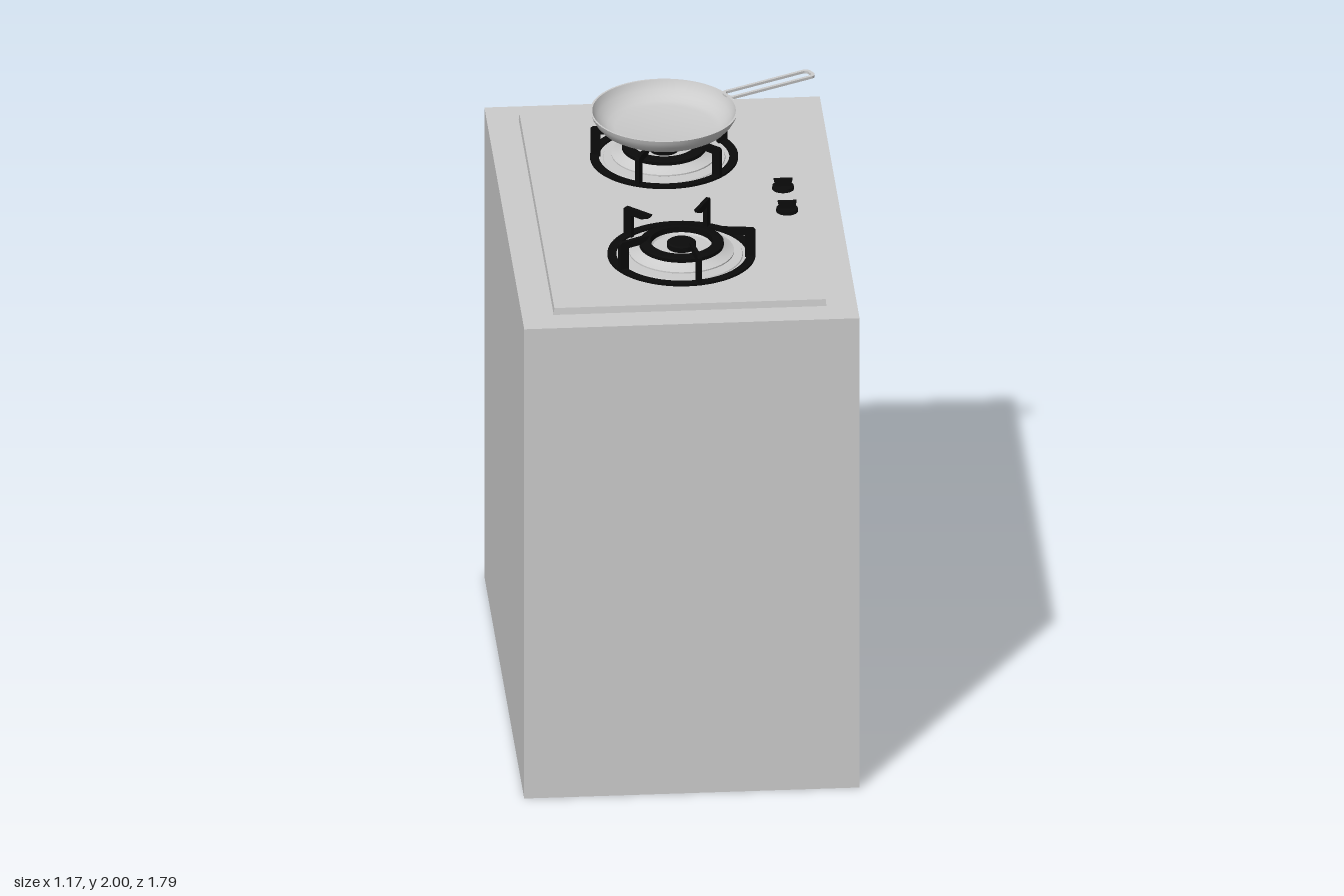
import * as THREE from 'three';
import { toCreasedNormals } from 'three/addons/utils/BufferGeometryUtils.js';

const grey = new THREE.MeshStandardMaterial({ color: 0xcccccc });
const black = new THREE.MeshStandardMaterial({ color: 0x0b0b0b });

function add(parent, name, geometry, material, x = 0, y = 0, z = 0) {
  const mesh = new THREE.Mesh(geometry, material);
  mesh.name = name;
  mesh.position.set(x, y, z);
  parent.add(mesh);
  return mesh;
}

function group(parent, name, x = 0, y = 0, z = 0) {
  const g = new THREE.Group();
  g.name = name;
  g.position.set(x, y, z);
  parent.add(g);
  return g;
}

const box = (w, h, d) => new THREE.BoxGeometry(w, h, d);
const toVectors = pts => pts.map(([x, y]) => new THREE.Vector2(x, y));

// Profiles run counter-clockwise: bottom, outside, top, inside
const lathe = (pts, segments = 64) =>
  toCreasedNormals(new THREE.LatheGeometry(toVectors(pts), segments), 0.6);

// Flat outline in x/y, thickness centred on z
const slab = (pts, depth) =>
  new THREE.ExtrudeGeometry(new THREE.Shape(toVectors(pts)), { depth, bevelEnabled: false })
    .translate(0, 0, -depth / 2);

function roundedRect(path, x0, x1, h, r) {
  path.moveTo(x0 + r, -h);
  path.lineTo(x1 - r, -h);
  path.absarc(x1 - r, -h + r, r, -Math.PI / 2, 0);
  path.absarc(x1 - r, h - r, r, 0, Math.PI / 2);
  path.absarc(x0 + r, h - r, r, Math.PI / 2, Math.PI);
  path.absarc(x0 + r, -h + r, r, Math.PI, Math.PI * 1.5);
  return path;
}

function buildCabinet(root) {
  const cabinet = group(root, 'cabinet');
  add(cabinet, 'cabinetBody', box(1.14, 1.795, 1.79), grey, -0.02, 0.8975, 0);

  // Frame around the recessed doors
  const frame = new THREE.Shape(toVectors([[-0.895, 0], [0.895, 0], [0.895, 1.795], [-0.895, 1.795]]));
  frame.holes.push(new THREE.Path(toVectors([[-0.845, 0.05], [-0.845, 1.75], [0.845, 1.75], [0.845, 0.05]])));
  const frameGeometry = new THREE.ExtrudeGeometry(frame, { depth: 0.022, bevelEnabled: false });
  add(cabinet, 'doorFrame', frameGeometry.rotateY(Math.PI / 2), grey, 0.55);

  const handle = slab([[0, -0.072], [0.018, -0.072], [0.03, -0.058], [0.03, 0.058], [0.018, 0.072], [0, 0.072]], 0.028);
  for (const side of [1, -1]) {
    const label = side > 0 ? 'front' : 'back';
    add(cabinet, label + 'Door', box(0.01, 1.7, 0.842), grey, 0.551, 0.9, side * 0.424);
    add(cabinet, label + 'DoorHandle', handle, black, 0.555, 0.9, side * 0.064);
  }
}

// Heights inside a burner are measured from the cooktop surface
function buildBurner(root, name, z, turn) {
  const burner = group(root, name, -0.006, 1.82, z);
  burner.rotation.y = turn;
  add(burner, 'dripTray', lathe([[0.212, 0], [0.21, 0.004], [0, 0.004]]), grey);
  add(burner, 'burnerBase', lathe([
    [0.16, 0], [0.165, 0.012], [0.182, 0.014], [0.182, 0.019], [0.15, 0.03],
    [0.14, 0.04], [0.11, 0.04], [0.1, 0.03], [0, 0.03]]), grey);
  add(burner, 'flameRing', lathe([
    [0.105, 0.03], [0.146, 0.038], [0.146, 0.05], [0.138, 0.055], [0.108, 0.055], [0.105, 0.03]]), black);
  add(burner, 'burnerCap', lathe([[0.05, 0.03], [0.05, 0.048], [0.045, 0.052], [0, 0.052]], 32), black);

  // Pan support: base ring with five bent prongs
  add(burner, 'supportRing', lathe([
    [0.226, 0], [0.256, 0], [0.256, 0.008], [0.226, 0.008], [0.226, 0]]), black);
  const prong = slab([
    [0.22, 0], [0.255, 0], [0.255, 0.102], [0.247, 0.11], [0.135, 0.11],
    [0.145, 0.096], [0.175, 0.084], [0.22, 0.084]], 0.014);
  for (let i = 0; i < 5; i++) {
    const mesh = add(burner, 'supportProng', prong, black);
    mesh.rotation.y = -THREE.MathUtils.degToRad(8 + i * 72);
  }
}

function buildKnob(root, z) {
  const knob = group(root, 'knob', 0.383, 1.82, z);
  add(knob, 'knobStem', new THREE.CylinderGeometry(0.01, 0.01, 0.014, 20), black, 0, 0.006);
  add(knob, 'knobDisc', new THREE.CylinderGeometry(0.037, 0.038, 0.012, 40), black, 0, 0.015);
  add(knob, 'knobGrip', slab([[-0.026, 0.018], [0.026, 0.018], [0.033, 0.048], [-0.033, 0.048]], 0.012), black);
}

function buildPan(root) {
  const pan = group(root, 'fryingPan', -0.006, 1.93, -0.395);
  add(pan, 'panBowl', lathe([
    [0, 0], [0.175, 0], [0.2, 0.005], [0.222, 0.018], [0.24, 0.038], [0.25, 0.056], [0.255, 0.07],
    [0.248, 0.07], [0.243, 0.057], [0.232, 0.04], [0.215, 0.024], [0.196, 0.012], [0.172, 0.007], [0, 0.007]], 80), grey);

  // Flat open loop handle
  const loop = roundedRect(new THREE.Shape(), 0.245, 0.6, 0.031, 0.022);
  loop.holes.push(roundedRect(new THREE.Path(), 0.257, 0.588, 0.02, 0.012));
  const geometry = new THREE.ExtrudeGeometry(loop, { depth: 0.009, bevelEnabled: false, curveSegments: 8 });
  const handle = add(pan, 'panHandle', geometry.rotateX(-Math.PI / 2), grey, 0, 0.06);
  handle.rotation.y = THREE.MathUtils.degToRad(27);
}

export function createModel() {
  const root = new THREE.Group();
  root.name = 'stoveCabinet';
  buildCabinet(root);

  // Cooktop plate with a slightly chamfered upper edge
  const plate = box(0.945, 0.025, 1.575);
  const p = plate.attributes.position;
  for (let i = 0; i < p.count; i++) {
    if (p.getY(i) > 0) p.setXYZ(i, p.getX(i) * 0.995, p.getY(i), p.getZ(i) * 0.997);
  }
  plate.computeVertexNormals();
  add(root, 'cooktop', plate, grey, -0.007, 1.8075, 0);

  buildBurner(root, 'frontBurner', 0.39, 0);
  buildBurner(root, 'backBurner', -0.395, Math.PI);
  for (const z of [0.086, -0.094]) buildKnob(root, z);
  buildPan(root);
  return root;
}
